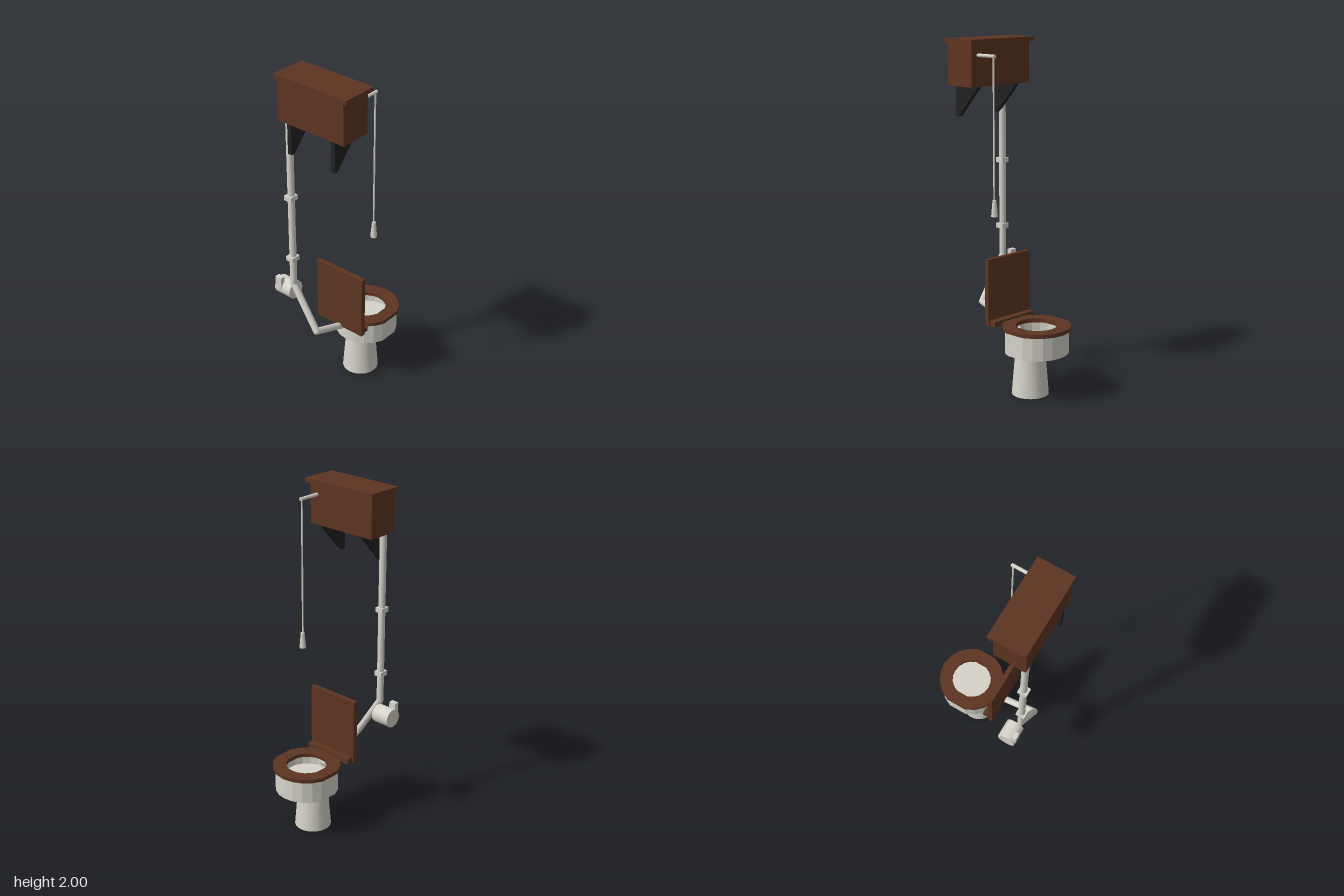
import * as THREE from 'three';

export function createModel() {
  const group = new THREE.Group();
  const mat = (name, color) => {
    const m = new THREE.MeshStandardMaterial({ color });
    m.name = name;
    return m;
  };
  const wood = mat('dark wood', 0x5e3522);
  const china = mat('white china', 0xd6d4ca);
  const iron = mat('black iron', 0x222222);

  const add = (name, geometry, material) => {
    const mesh = new THREE.Mesh(geometry, material);
    mesh.name = name;
    group.add(mesh);
    return mesh;
  };
  // Box given by its limits on each axis
  const box = (name, material, [x0, x1], [y0, y1], [z0, z1]) =>
    add(name, new THREE.BoxGeometry(x1 - x0, y1 - y0, z1 - z0), material)
      .position.set((x0 + x1) / 2, (y0 + y1) / 2, (z0 + z1) / 2);
  // Round bar from a to b, with radius r0 at a and r1 at b
  const bar = (name, material, a, b, r0, r1 = r0, sides = 20) => {
    const from = new THREE.Vector3(...a), to = new THREE.Vector3(...b);
    const dir = to.clone().sub(from);
    const mesh = add(name, new THREE.CylinderGeometry(r1, r0, dir.length(), sides), material);
    mesh.position.copy(from).add(to).multiplyScalar(0.5);
    mesh.quaternion.setFromUnitVectors(new THREE.Vector3(0, 1, 0), dir.normalize());
  };

  // Outline of a 20-sided ring, flattened on both flanks
  const BX = 0.135, BZ = 0.023;
  const outline = (r) => {
    const pts = [];
    for (let i = 0; i < 20; i++) {
      if (i % 10 === 5) continue;
      const a = (i * Math.PI) / 10;
      pts.push(new THREE.Vector2(r * Math.cos(a), r * Math.sin(a)));
    }
    return pts;
  };
  const slab = (name, material, y0, y1, rOuter, rInner) => {
    const shape = new THREE.Shape(outline(rOuter));
    if (rInner) shape.holes.push(new THREE.Path(outline(rInner)));
    const g = new THREE.ExtrudeGeometry(shape, { depth: y1 - y0, bevelEnabled: false });
    g.rotateX(-Math.PI / 2);
    add(name, g, material).position.set(BX, y0, BZ);
  };

  // Pedestal, bowl and seat
  bar('pedestal', china, [0.085, 0, BZ], [0.085, 0.33, BZ], 0.106, 0.079, 24);
  slab('bowl', china, 0.26, 0.395, 0.182, 0.145);
  slab('bowlFloor', china, 0.32, 0.335, 0.146);
  slab('seat', wood, 0.394, 0.416, 0.195, 0.1175);
  box('seatHinge', wood, [-0.08, -0.04], [0.396, 0.428], [-0.133, 0.18]);
  box('seatLid', wood, [-0.108, -0.08], [0.396, 0.782], [-0.143, 0.19]);

  // Cistern
  box('cistern', wood, [-0.33, -0.142], [1.742, 1.978], [-0.2, 0.248]);
  box('cisternLid', wood, [-0.332, -0.118], [1.976, 2], [-0.22, 0.267]);

  // Wall brackets
  const bracket = new THREE.Shape([
    [-0.33, 1.742], [-0.33, 1.567], [-0.308, 1.567], [-0.162, 1.73], [-0.162, 1.742],
  ].map(([x, y]) => new THREE.Vector2(x, y)));
  for (const z of [0.163, -0.134])
    add('bracket', new THREE.ExtrudeGeometry(bracket, { depth: 0.027, bevelEnabled: false }), iron)
      .position.z = z;

  // Flush pipe with rounded elbows
  const path = [[-0.302, 1.742, -0.147], [-0.302, 0.72, -0.147], [-0.304, 0.465, 0.022], [0, 0.352, 0.022]];
  for (let i = 0; i < 3; i++) bar('flushPipe', china, path[i], path[i + 1], 0.02);
  for (const p of path.slice(1, 3))
    add('pipeElbow', new THREE.SphereGeometry(0.02, 16, 10), china).position.set(...p);
  for (const y of [1.285, 0.895])
    box('pipeClamp', china, [-0.332, -0.277], [y - 0.014, y + 0.014], [-0.171, -0.122]);

  // Paper roll and holder
  bar('paperRoll', china, [-0.275, 0.655, -0.27], [-0.275, 0.655, -0.158], 0.054, 0.054, 28);
  box('rollHolder', china, [-0.332, -0.303], [0.66, 0.735], [-0.26, -0.217]);

  // Flush lever, chain and pull
  bar('lever', china, [-0.15, 1.914, 0.199], [-0.012, 1.914, 0.199], 0.01, 0.01, 10);
  bar('chain', china, [-0.022, 1.914, 0.199], [-0.022, 1.12, 0.199], 0.005, 0.005, 8);
  bar('pullHandle', china, [-0.02, 1.04, 0.199], [-0.02, 1.133, 0.199], 0.019, 0.011, 8);

  return group;
}
